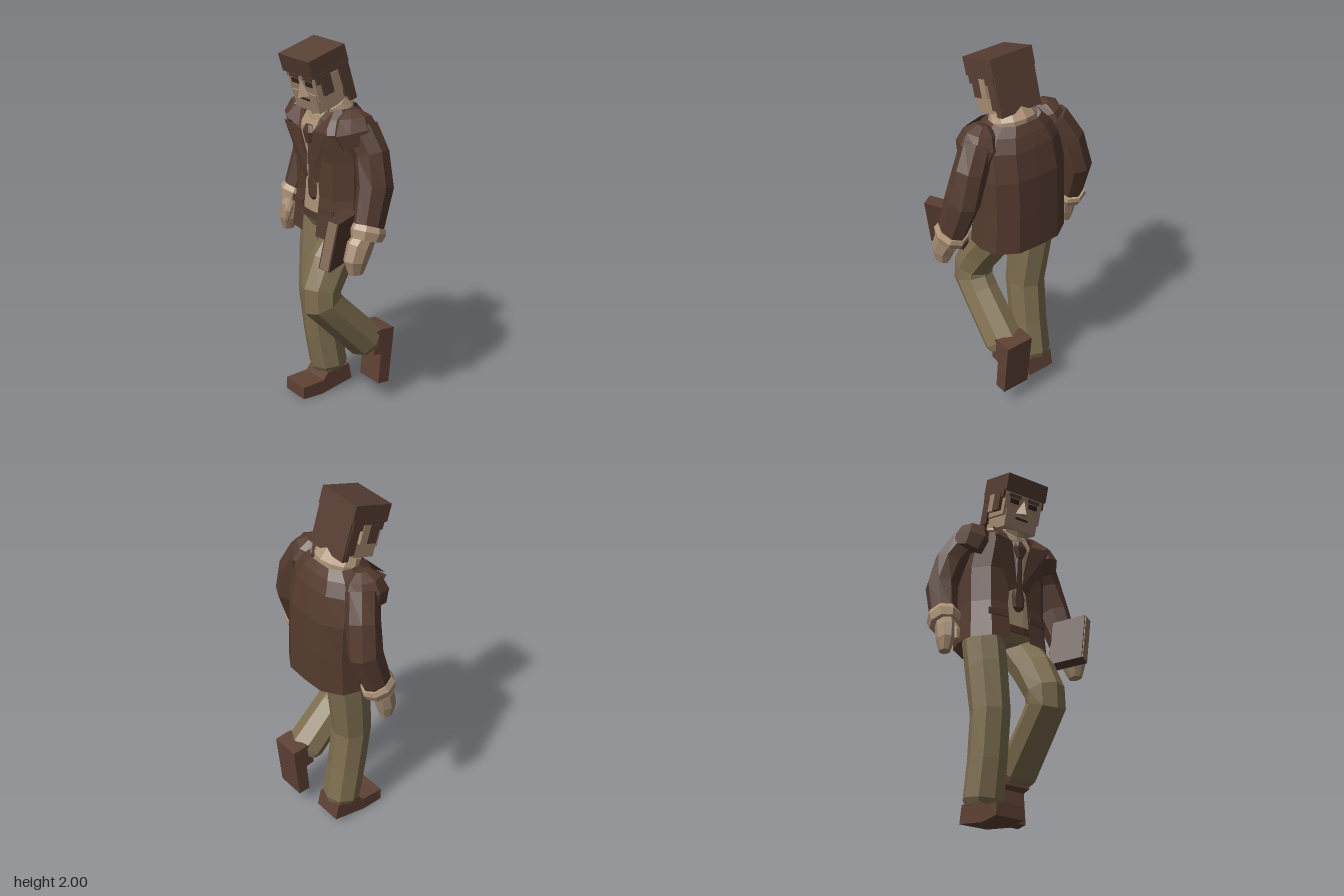
import * as THREE from 'three';

const mat = (name, color) => Object.assign(new THREE.MeshStandardMaterial({ color, flatShading: true, side: THREE.DoubleSide }), { name });
const V = (x, y, z) => new THREE.Vector3(x, y, z);

export function createModel() {
  const jacket = mat('jacket brown', 0x543b2f), trousers = mat('trouser olive', 0x7f6f50);
  const skin = mat('skin', 0xa58a70), shirt = mat('shirt tan', 0xb0967a);
  const hair = mat('hair brown', 0x573f33), leather = mat('shoe leather', 0x5f4235);
  const tieCloth = mat('tie brown', 0x533a2f), dark = mat('eye dark', 0x3a2822);
  const pages = mat('book pages', 0x8d765f);

  const root = new THREE.Group();
  root.name = 'walkingMan';
  const add = (name, geo, material, parent = root) => {
    const m = new THREE.Mesh(geo, material);
    m.name = name;
    parent.add(m);
    return m;
  };
  const box = (name, material, [w, h, d], [x, y, z], parent = root) => {
    const m = add(name, new THREE.BoxGeometry(w, h, d), material, parent);
    m.position.set(x, y, z);
    return m;
  };

  const geometryOf = (tris) => {
    const g = new THREE.BufferGeometry().setFromPoints(tris);
    g.computeVertexNormals();
    return g;
  };

  // Skins a list of rings
  function loft(rings, closed = true, caps = true) {
    const out = [], n = rings[0].length;
    for (let i = 0; i < rings.length - 1; i++) {
      for (let j = 0; j < (closed ? n : n - 1); j++) {
        const k = (j + 1) % n;
        const a = rings[i][j], b = rings[i][k], c = rings[i + 1][k], d = rings[i + 1][j];
        out.push(a, d, c, a, c, b);
      }
    }
    if (caps) {
      [rings[0], rings[rings.length - 1]].forEach((r, e) => {
        const c = r.reduce((s, p) => s.add(p), V(0, 0, 0)).divideScalar(n);
        r.forEach((p, j) => {
          const q = r[(j + 1) % n];
          if (e) out.push(c, q, p); else out.push(c, p, q);
        });
      });
    }
    return geometryOf(out);
  }

  // Limb along a path of [x, y, z, side radius, depth radius]
  function limb(path, n = 8) {
    const pts = path.map(([x, y, z]) => V(x, y, z));
    return loft(path.map(([, , , rx, rz], i) => {
      const t = V(0, 0, 0);
      if (i > 0) t.add(pts[i].clone().sub(pts[i - 1]).normalize());
      if (i < pts.length - 1) t.add(pts[i + 1].clone().sub(pts[i]).normalize());
      t.normalize();
      const u = V(1, 0, 0).addScaledVector(t, -t.x).normalize();
      const w = u.clone().cross(t);
      return Array.from({ length: n }, (_, j) => {
        const a = j / n * Math.PI * 2;
        return pts[i].clone().addScaledVector(u, rx * Math.cos(a)).addScaledVector(w, rz * Math.sin(a));
      });
    }));
  }

  // Flat polygon, mirrored by the sign s
  const plate = (name, material, s, pts) => {
    const p = pts.map(([x, y, z]) => V(x * s, y, z)), out = [];
    for (let i = 1; i < p.length - 1; i++) out.push(p[0], ...(s > 0 ? [p[i + 1], p[i]] : [p[i], p[i + 1]]));
    return add(name, geometryOf(out), material);
  };

  // Side outline of [z, y] points, extruded across x
  const sideExtrude = (pts, x0, width) => {
    const g = new THREE.ExtrudeGeometry(new THREE.Shape(pts.map(([z, y]) => new THREE.Vector2(z, y))), { depth: width, bevelEnabled: false });
    return g.rotateY(-Math.PI / 2).translate(x0 + width, 0, 0);
  };

  // Cross-section of the torso, starting and ending at the front opening
  const torsoRing = ([y, rx, zf, zb, gap]) => {
    const mid = (zf + zb) / 2, h = (zf - zb) / 2;
    const half = [[gap, zf], [rx * 0.65, mid + h * 0.92], [rx * 0.95, mid + h * 0.45], [rx, mid - h * 0.1],
      [rx * 0.9, mid - h * 0.6], [rx * 0.5, mid - h * 0.97]];
    return [...half.map(([x, z]) => V(-x, y, z)), V(0, y, zb), ...half.reverse().map(([x, z]) => V(x, y, z))];
  };

  // Jacket, shirt and belt; rows are [y, half width, front, back, opening]
  add('jacket', loft([
    [0.985, 0.258, 0.13, -0.236, 0.06], [1.2, 0.247, 0.105, -0.232, 0.062], [1.4, 0.25, 0.105, -0.222, 0.04],
    [1.55, 0.235, 0.135, -0.188, 0.06], [1.62, 0.19, 0.11, -0.158, 0.075], [1.665, 0.14, 0.07, -0.128, 0.09],
  ].map(torsoRing), false, false), jacket);
  add('shirt', loft([
    [1.08, 0.21, 0.085, -0.18, 0.05], [1.4, 0.21, 0.088, -0.17, 0.05], [1.55, 0.18, 0.11, -0.14, 0.05],
    [1.63, 0.12, 0.09, -0.11, 0.05],
  ].map(torsoRing)), shirt);
  add('hips', loft([[1.0, 0.2, 0.06, -0.16, 0.05], [1.05, 0.21, 0.085, -0.18, 0.05]].map(torsoRing)), trousers);
  add('belt', loft([[1.05, 0.215, 0.092, -0.185, 0.05], [1.09, 0.215, 0.092, -0.185, 0.05]].map(torsoRing)), tieCloth);

  // Shirt collar and neck
  add('shirtCollar', limb([[0, 1.69, 0.01, 0.118, 0.1], [0, 1.655, -0.01, 0.132, 0.117], [0, 1.6, -0.01, 0.13, 0.115]], 12), shirt);
  add('neck', limb([[0, 1.76, 0.06, 0.085, 0.085], [0, 1.62, 0.01, 0.09, 0.085]]), skin);

  // Tie
  add('tieKnot', limb([[0, 1.575, 0.125, 0.025, 0.015], [0, 1.54, 0.132, 0.045, 0.018], [0, 1.48, 0.125, 0.02, 0.015]], 6), tieCloth);
  add('tie', limb([[0, 1.5, 0.118, 0.02, 0.01], [0, 1.3, 0.108, 0.03, 0.012], [0.003, 1.25, 0.106, 0.042, 0.012],
    [0.003, 1.19, 0.106, 0.036, 0.012], [0.003, 1.17, 0.1, 0.012, 0.008]], 6), tieCloth);

  for (const s of [-1, 1]) {
    // Lapels, jacket collar and pocket flaps
    plate('lapel', jacket, s, [[0.012, 1.3, 0.122], [0.06, 1.56, 0.145], [0.18, 1.57, 0.155], [0.14, 1.46, 0.135], [0.06, 1.27, 0.112]]);
    plate('jacketCollar', jacket, s, [[0.06, 1.55, 0.147], [0.09, 1.65, 0.09], [0.14, 1.665, 0.07], [0.18, 1.59, 0.145]]);
    box('pocketFlap', tieCloth, [0.11, 0.035, 0.009], [s * 0.125, 1.13, 0.108]).rotation.y = s * 0.14;
    // Padded shoulders
    add('shoulder', limb([[s * 0.19, 1.672, -0.01, 0.03, 0.04], [s * 0.2, 1.635, -0.01, 0.088, 0.09],
      [s * 0.215, 1.565, -0.01, 0.11, 0.122], [s * 0.24, 1.5, -0.02, 0.09, 0.1]]), jacket);
  }

  // Arms: sleeve joints, then cuff and hand hang from the wrist
  const arms = {
    right: [[-0.235, 1.585, -0.045, 0.085, 0.09], [-0.3, 1.46, -0.095, 0.088, 0.09], [-0.342, 1.3, -0.112, 0.085, 0.095], [-0.365, 1.09, -0.045, 0.07, 0.08]],
    left: [[0.235, 1.585, -0.03, 0.085, 0.09], [0.3, 1.46, -0.05, 0.09, 0.09], [0.345, 1.3, -0.04, 0.085, 0.1], [0.372, 1.09, 0.025, 0.07, 0.085]],
  };
  for (const [side, path] of Object.entries(arms)) {
    add(side + 'Sleeve', limb(path), jacket);
    const s = side === 'left' ? 1 : -1, [x, y, z] = path[3];
    add(side + 'Cuff', limb([[x - s * 0.004, y + 0.02, z - 0.01, 0.08, 0.09], [x, y - 0.005, z, 0.09, 0.098],
      [x + s * 0.004, y - 0.045, z + 0.012, 0.075, 0.085]]), shirt);
    const d = s > 0 ? 0.025 : 0.008, hx = s > 0 ? -0.012 : 0, k = s > 0 ? 1 : 0.85;
    add(side + 'Hand', limb([[x, y - 0.02, z + 0.01, 0.05, 0.06], [x + s * 0.008 + hx, y - 0.08, z + 0.025 + d, 0.06 * k, 0.075 * k],
      [x + s * 0.014 + hx, y - 0.15, z + 0.03 + 2 * d, 0.055 * k, 0.068 * k], [x + s * 0.018 + hx, y - 0.215, z + 0.03 + 2 * d, 0.033 * k, 0.042 * k]]), skin);
    add(side + 'Thumb', limb([[x - s * 0.02, y - 0.05, z + 0.05, 0.02, 0.022], [x - s * 0.03, y - 0.1, z + 0.08, 0.022, 0.022],
      [x - s * 0.025, y - 0.15, z + 0.09, 0.014, 0.014]], 6), skin);
  }

  // Closed book carried in the left hand
  const book = new THREE.Group();
  book.name = 'book';
  book.position.set(0.303, 1.045, 0.16);
  book.rotation.set(0, 0.42, -0.2);
  root.add(book);
  box('bookCover', jacket, [0.064, 0.275, 0.195], [0, 0, 0], book);
  box('bookPages', pages, [0.05, 0.265, 0.008], [0, 0, 0.098], book);

  // Legs: the right one stands, the left one swings up behind
  add('rightLeg', limb([[-0.115, 1.04, -0.05, 0.11, 0.125], [-0.11, 0.85, -0.025, 0.11, 0.12], [-0.1, 0.6, 0, 0.105, 0.11],
    [-0.097, 0.35, -0.03, 0.103, 0.108], [-0.095, 0.15, -0.065, 0.108, 0.105], [-0.095, 0.115, -0.068, 0.09, 0.09]]), trousers);
  add('leftLeg', limb([[0.12, 1.04, -0.055, 0.11, 0.1], [0.122, 0.97, -0.01, 0.112, 0.11], [0.127, 0.85, 0.083, 0.11, 0.115], [0.138, 0.72, 0.15, 0.105, 0.108],
    [0.145, 0.645, 0.148, 0.103, 0.112], [0.148, 0.57, 0.08, 0.105, 0.1], [0.153, 0.36, -0.125, 0.11, 0.104],
    [0.153, 0.335, -0.148, 0.092, 0.09]]), trousers);

  // Shoes
  add('rightShoe', sideExtrude([[0.165, 0.005], [0.165, 0.075], [0.03, 0.08], [0.0, 0.12], [-0.145, 0.135], [-0.165, 0.04], [0.04, 0]], -0.172, 0.165), leather);
  add('leftShoe', sideExtrude([[-0.165, 0.105], [-0.18, 0.28], [-0.13, 0.29], [-0.15, 0.42], [-0.18, 0.43], [-0.268, 0.42], [-0.235, 0.1]], 0.072, 0.165), leather);

  // Head, measured down from the crown and tilted forward
  const head = new THREE.Group();
  head.name = 'head';
  head.position.set(0, 1.965, 0.11);
  head.rotation.x = 0.295;
  root.add(head);
  box('face', skin, [0.236, 0.17, 0.2], [0, -0.145, 0], head);
  box('jaw', skin, [0.205, 0.1, 0.19], [0, -0.245, 0.012], head);
  box('hairTop', hair, [0.262, 0.095, 0.23], [0, -0.0475, 0], head);
  box('hairBack', hair, [0.25, 0.22, 0.04], [0, -0.19, -0.095], head);
  add('nose', new THREE.ConeGeometry(0.045, 0.085, 4), skin, head).position.set(0, -0.165, 0.105);
  box('moustache', dark, [0.08, 0.012, 0.009], [0, -0.232, 0.105], head);
  for (const s of [-1, 1]) {
    box('sideHair', hair, [0.022, 0.05, 0.2], [s * 0.122, -0.11, -0.005], head);
    box('sideburn', hair, [0.026, 0.1, 0.06], [s * 0.123, -0.155, 0.04], head);
    box('napeHair', hair, [0.018, 0.135, 0.055], [s * 0.12, -0.197, -0.078], head);
    box('ear', skin, [0.03, 0.1, 0.045], [s * 0.122, -0.155, -0.015], head);
    box('eyebrow', hair, [0.075, 0.018, 0.009], [s * 0.06, -0.113, 0.102], head);
    box('eye', dark, [0.056, 0.026, 0.008], [s * 0.06, -0.142, 0.101], head);
  }
  return root;
}
